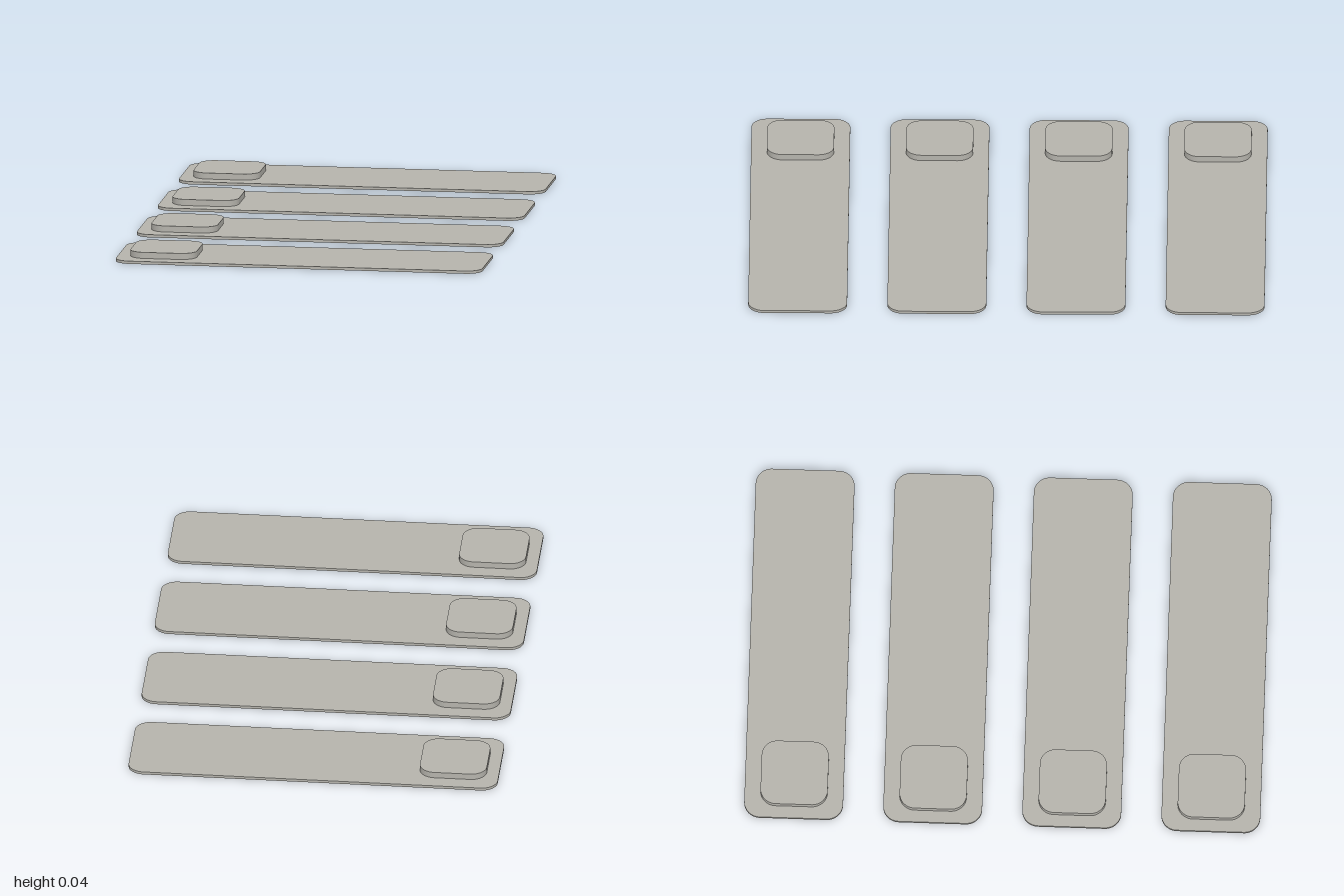
import * as THREE from 'three';

// Flat slab with rounded corners, lying on the xz plane from y = 0 up to height
function roundedSlab(width, depth, radius, height) {
  const x = width / 2, z = depth / 2, r = radius;
  const s = new THREE.Shape();
  s.absarc(x - r, z - r, r, 0, Math.PI / 2);
  s.absarc(-x + r, z - r, r, Math.PI / 2, Math.PI);
  s.absarc(-x + r, -z + r, r, Math.PI, Math.PI * 1.5);
  s.absarc(x - r, -z + r, r, Math.PI * 1.5, Math.PI * 2);
  s.closePath();
  const geometry = new THREE.ExtrudeGeometry(s, { depth: height, bevelEnabled: false, curveSegments: 8 });
  return geometry.rotateX(-Math.PI / 2);
}

export function createModel() {
  const model = new THREE.Group();
  model.name = 'stripSet';
  const warmGrey = new THREE.MeshStandardMaterial({ name: 'warmGrey', color: 0xb5b3ac });

  const stripGeometry = roundedSlab(1.436, 0.383, 0.062, 0.011);
  const padGeometry = roundedSlab(0.26, 0.26, 0.06, 0.024);

  // Four identical strips in a row, each with a raised pad near its right end
  for (let i = 0; i < 4; i++) {
    const unit = new THREE.Group();
    unit.name = `stripUnit${i + 1}`;
    unit.position.z = (i - 1.5) * 0.539;

    const strip = new THREE.Mesh(stripGeometry, warmGrey);
    strip.name = 'strip';

    const pad = new THREE.Mesh(padGeometry, warmGrey);
    pad.name = 'raisedPad';
    pad.position.set(-0.54, 0.011, 0);

    unit.add(strip, pad);
    model.add(unit);
  }
  return model;
}
